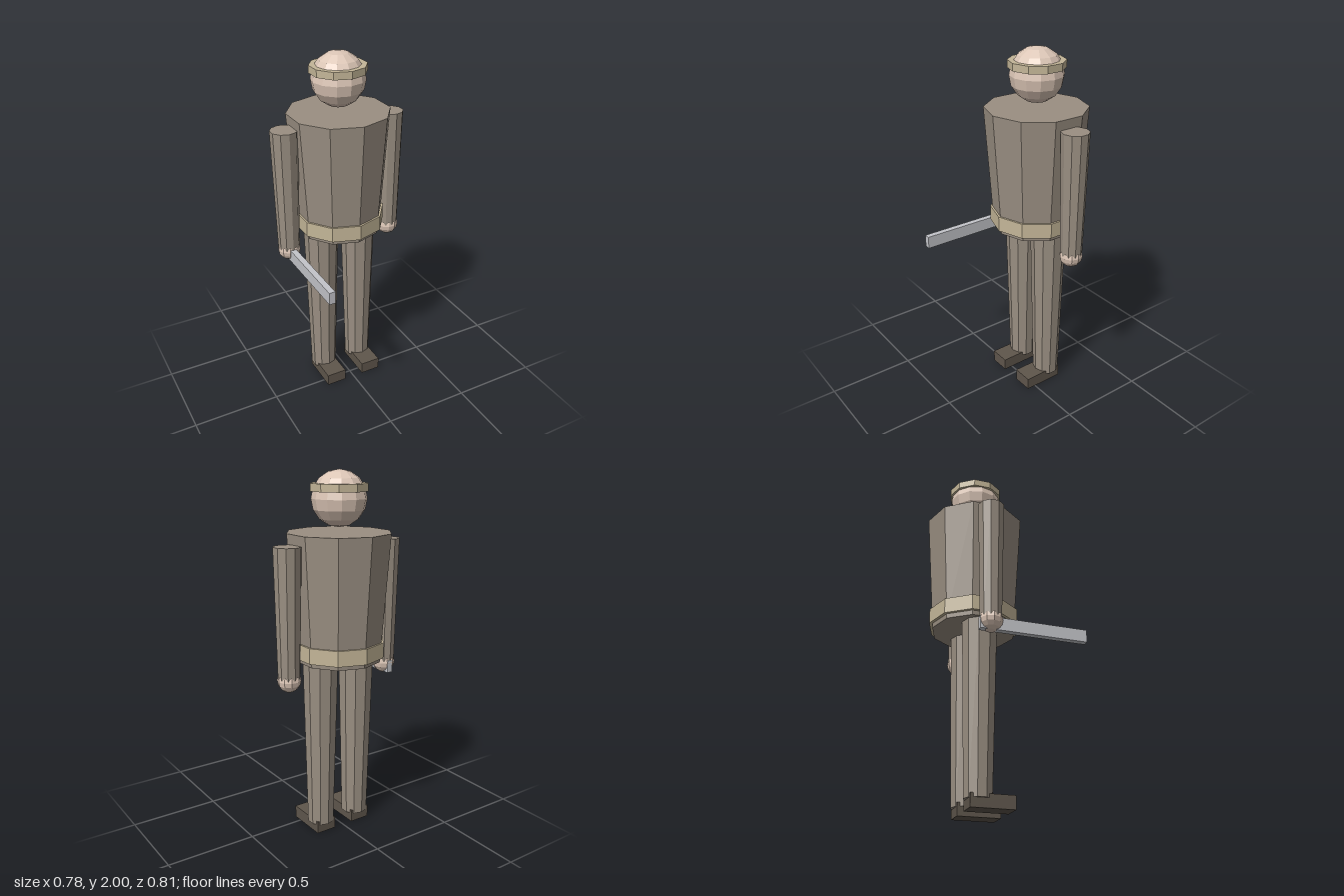
import * as THREE from 'three';

const Z = -0.125; // body axis
const mat = (color) => new THREE.MeshStandardMaterial({ color, flatShading: true });

export function createModel() {
  const model = new THREE.Group();
  model.name = 'figure';
  const cloth = mat(0x9a8f82);
  const trim = mat(0xc4b698);
  const skin = mat(0xdcc6b6);
  const leather = mat(0x5f564c);
  const metal = mat(0xc4c5ca);

  const add = (name, geometry, material, x, y, z = Z) => {
    const mesh = new THREE.Mesh(geometry, material);
    mesh.name = name;
    mesh.position.set(x, y, z);
    model.add(mesh);
  };
  // Ten-sided tapered column between two heights
  const column = (name, material, x, y0, y1, r0, r1) =>
    add(name, new THREE.CylinderGeometry(r1, r0, y1 - y0, 10), material, x, (y0 + y1) / 2);

  // Trunk and belt
  column('torso', cloth, 0, 0.995, 1.682, 0.234, 0.282);
  column('belt', trim, 0, 1.02, 1.105, 0.253, 0.253);

  // Head and headband
  add('head', new THREE.SphereGeometry(0.147, 12, 8), skin, 0, 1.853);
  column('headband', trim, 0, 1.89, 1.93, 0.155, 0.155);

  // Limbs, mirrored
  for (const [side, s] of [['left', 1], ['right', -1]]) {
    column(side + 'Arm', cloth, s * 0.318, 0.935, 1.629, 0.06, 0.075);
    add(side + 'Hand', new THREE.SphereGeometry(0.064, 10, 8), skin, s * 0.318, 0.927);
    column(side + 'Leg', cloth, s * 0.118, 0.05, 1.0, 0.075, 0.099);
    add(side + 'Shoe', new THREE.BoxGeometry(0.118, 0.07, 0.234), leather, s * 0.118, 0.035, -0.064);
  }

  // Blade held forward in the right hand
  add('blade', new THREE.BoxGeometry(0.034, 0.07, 0.591), metal, -0.317, 0.906, 0.11);

  return model;
}
